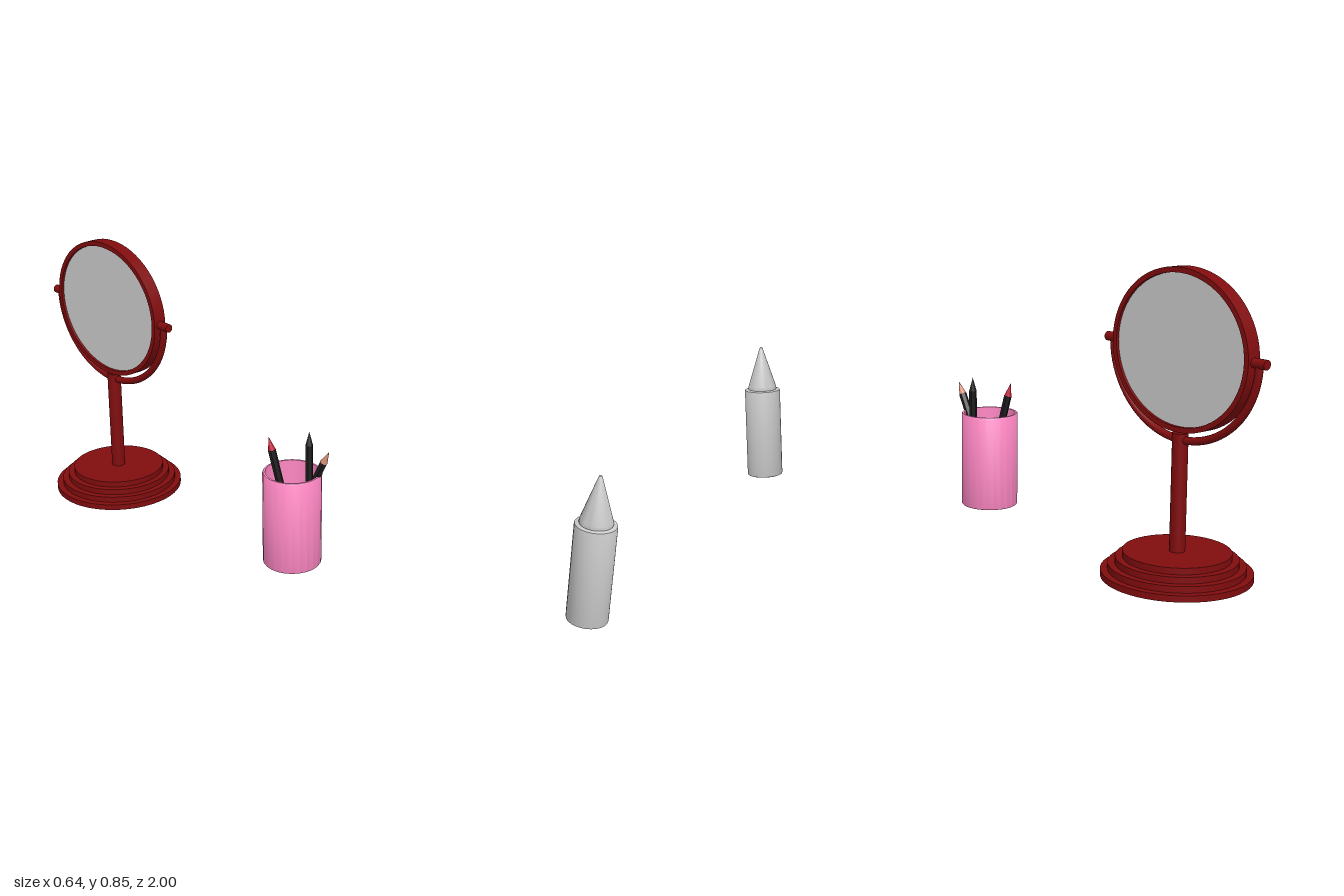
import * as THREE from 'three';
import { toCreasedNormals } from 'three/addons/utils/BufferGeometryUtils.js';

const mat = (color) => new THREE.MeshStandardMaterial({ color });
const RED = mat(0x800c0e), GREY = mat(0xcccccc), PINK = mat(0xff88c4);
const BLACK = mat(0x1c1c1e), WOOD = mat(0xd99078), CRIMSON = mat(0xc41e3a);

function add(parent, name, geometry, material, x = 0, y = 0, z = 0) {
  const mesh = new THREE.Mesh(geometry, material);
  mesh.name = name;
  mesh.position.set(x, y, z);
  parent.add(mesh);
  return mesh;
}

// Lathe from [radius, height] pairs, listed bottom to top on the outside
function lathe(points, segments) {
  const g = new THREE.LatheGeometry(points.map(([r, y]) => new THREE.Vector2(r, y)), segments);
  return toCreasedNormals(g, 0.6);
}

function ellipse(rx, ry, Type = THREE.Shape) {
  return new Type().absellipse(0, 0, rx, ry, 0, Math.PI * 2, false, 0);
}

function createMirror() {
  const mirror = new THREE.Group();
  mirror.name = 'tableMirror';
  const centre = 0.632;

  // Stepped round base and stem
  const step = 0.0183;
  const profile = [[0, 0]];
  for (let i = 0; i < 4; i++) {
    const r = 0.21 - i * 0.02;
    profile.push([r, i * step], [r, (i + 1) * step]);
  }
  profile.push([0, 4 * step]);
  add(mirror, 'base', lathe(profile, 48), RED);
  add(mirror, 'stem', new THREE.CylinderGeometry(0.022, 0.022, 0.335, 24), RED, 0, 0.238, 0);

  // Oval frame facing sideways
  const outline = ellipse(0.25, 0.222);
  outline.holes.push(ellipse(0.235, 0.207, THREE.Path));
  const frame = new THREE.ExtrudeGeometry(outline, { depth: 0.043, bevelEnabled: false, curveSegments: 32 });
  frame.translate(0, 0, -0.0215).rotateY(Math.PI / 2);
  add(mirror, 'frame', toCreasedNormals(frame, 0.6), RED, 0, centre, 0);

  // Glass on both faces, set slightly into the frame
  const glass = new THREE.ExtrudeGeometry(ellipse(0.237, 0.209), { depth: 0.026, bevelEnabled: false, curveSegments: 32 });
  glass.translate(0, 0, -0.013).rotateY(Math.PI / 2);
  add(mirror, 'glass', glass, GREY, 0, centre, 0);

  // Half-oval yoke carrying the frame
  const arc = [];
  for (let i = 0; i <= 24; i++) {
    const a = Math.PI * (1 + i / 24);
    arc.push(new THREE.Vector3(0, Math.sin(a) * 0.246, Math.cos(a) * 0.268));
  }
  add(mirror, 'yoke', new THREE.TubeGeometry(new THREE.CatmullRomCurve3(arc), 48, 0.011, 12), RED, 0, centre, 0);

  // Pivot pins
  for (const side of [-1, 1]) {
    const pin = add(mirror, 'pivotPin', new THREE.CylinderGeometry(0.0135, 0.0135, 0.048, 16), RED, 0, centre, side * 0.269);
    pin.rotation.x = Math.PI / 2;
  }
  return mirror;
}

// Hexagonal pencil running from its blunt end to its point
function createPencil(name, from, to, tipMaterial) {
  const pencil = new THREE.Group();
  pencil.name = name;
  const start = new THREE.Vector3(...from);
  const dir = new THREE.Vector3(...to).sub(start);
  const length = dir.length(), tip = 0.042, r = 0.012;
  const body = toCreasedNormals(new THREE.CylinderGeometry(r, r, length - tip, 6), 0.6);
  add(pencil, 'pencilBody', body, BLACK, 0, (length - tip) / 2, 0);
  add(pencil, 'pencilTip', new THREE.ConeGeometry(r * 0.95, tip, 12), tipMaterial, 0, length - tip / 2, 0);
  pencil.position.copy(start);
  pencil.quaternion.setFromUnitVectors(new THREE.Vector3(0, 1, 0), dir.normalize());
  return pencil;
}

function createPencilHolder() {
  const holder = new THREE.Group();
  holder.name = 'pencilHolder';
  // Open sleeve with a thin wall
  const wall = [[0.081, 0.02], [0.087, 0.02], [0.089, 0.023], [0.089, 0.314], [0.087, 0.317], [0.081, 0.317], [0.081, 0.02]];
  add(holder, 'cup', lathe(wall, 24), PINK);
  holder.add(
    createPencil('redPencil', [0.018, 0.03, 0.008], [-0.031, 0.418, -0.068], CRIMSON),
    createPencil('blackPencil', [0.034, 0.03, 0.038], [0.055, 0.433, 0.016], BLACK),
    createPencil('woodPencil', [0.02, 0.04, -0.066], [0.037, 0.404, 0.114], WOOD),
  );
  return holder;
}

// Stubby crayon with softened rims and a conical point
function createCrayon() {
  const crayon = new THREE.Group();
  crayon.name = 'crayon';
  const body = [[0, 0.004], [0.055, 0.004], [0.059, 0.006], [0.06, 0.01], [0.06, 0.301], [0.059, 0.306], [0.055, 0.308], [0, 0.308]];
  const point = [[0.046, 0.306], [0.048, 0.311], [0.047, 0.318], [0.006, 0.448], [0.004, 0.453], [0, 0.455]];
  add(crayon, 'crayonBody', lathe(body, 32), GREY);
  add(crayon, 'crayonPoint', lathe(point, 32), GREY);
  return crayon;
}

export function createModel() {
  const model = new THREE.Group();
  model.name = 'deskSet';
  const place = (part, x, z) => {
    part.position.set(x, 0, z);
    model.add(part);
  };
  place(createMirror(), -0.113, -0.707);
  place(createPencilHolder(), -0.108, 0.126);
  place(createCrayon(), 0.26, 0.94);
  return model;
}
